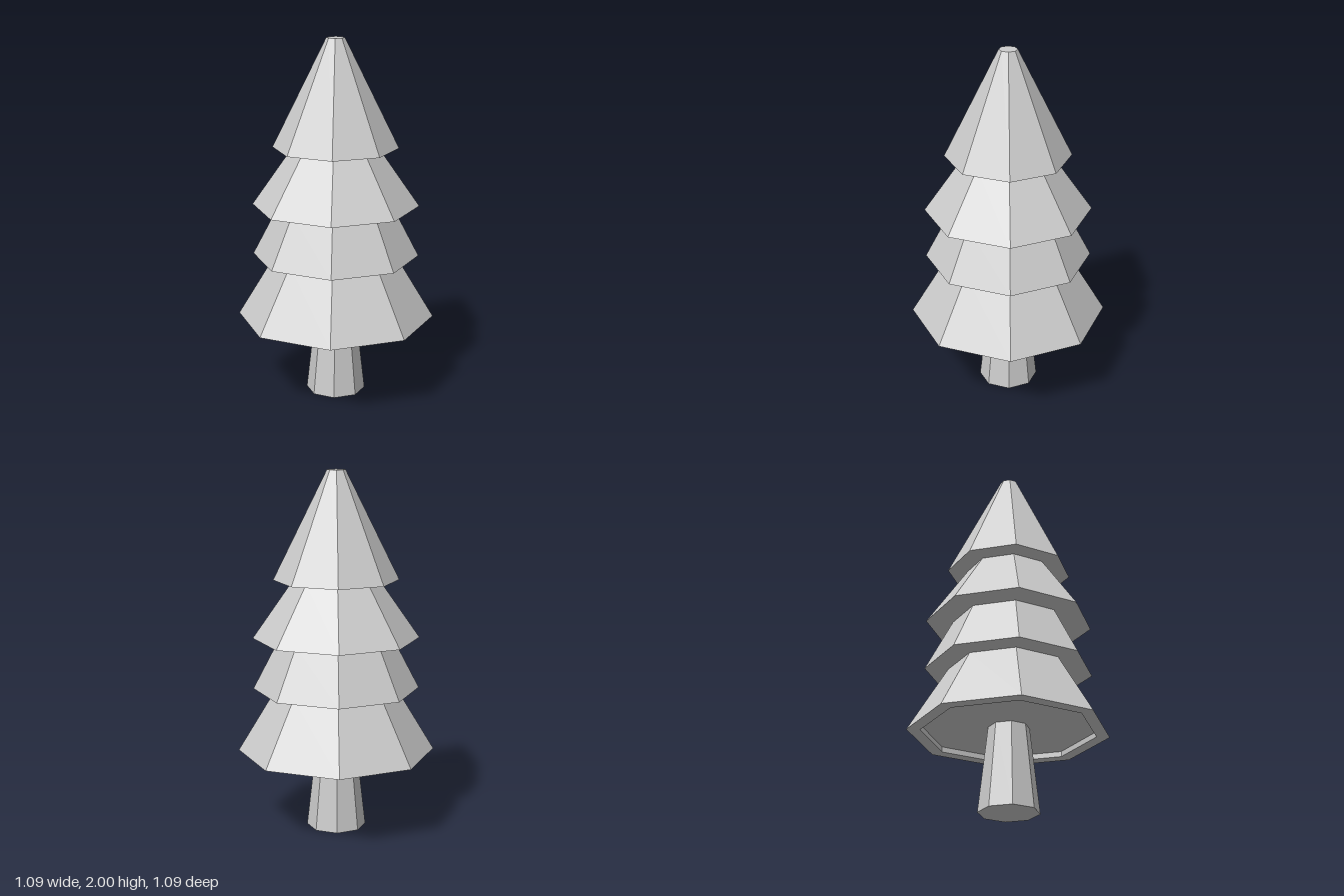
import * as THREE from 'three';

const SIDES = 8;

export function createModel() {
  const tree = new THREE.Group();
  tree.name = 'tree';

  const grey = new THREE.MeshStandardMaterial({ color: 0xcccccc, flatShading: true });
  grey.name = 'plain grey';

  // Eight-sided solid of revolution; the profile runs from bottom to top as [radius, y]
  const turned = (name, profile) => {
    const points = profile.map(([r, y]) => new THREE.Vector2(r, y));
    const mesh = new THREE.Mesh(new THREE.LatheGeometry(points, SIDES), grey);
    mesh.name = name;
    tree.add(mesh);
  };

  // Tapered trunk, ending at the recess under the lowest branches
  turned('trunk', [[0, 0], [0.165, 0], [0.112, 0.47]]);

  // Branch tiers: base height, base radius, top height, top radius
  const tiers = [
    [0.44, 0.547, 0.795, 0.333],
    [0.795, 0.46, 1.08, 0.312],
    [1.08, 0.46, 1.403, 0.235],
    [1.403, 0.345, 2, 0.05],
  ];
  tiers.forEach(([y0, r0, y1, r1], i) => {
    // The lowest tier has a shallow recess; the others rest on the tier below
    const underside = i === 0 ? [[0, 0.47], [0.474, 0.47], [0.474, y0]] : [[tiers[i - 1][3], y0]];
    const profile = [...underside, [r0, y0], [r1, y1]];
    if (i === tiers.length - 1) profile.push([0, y1]); // blunt tip
    turned(`branchTier${i + 1}`, profile);
  });

  return tree;
}
